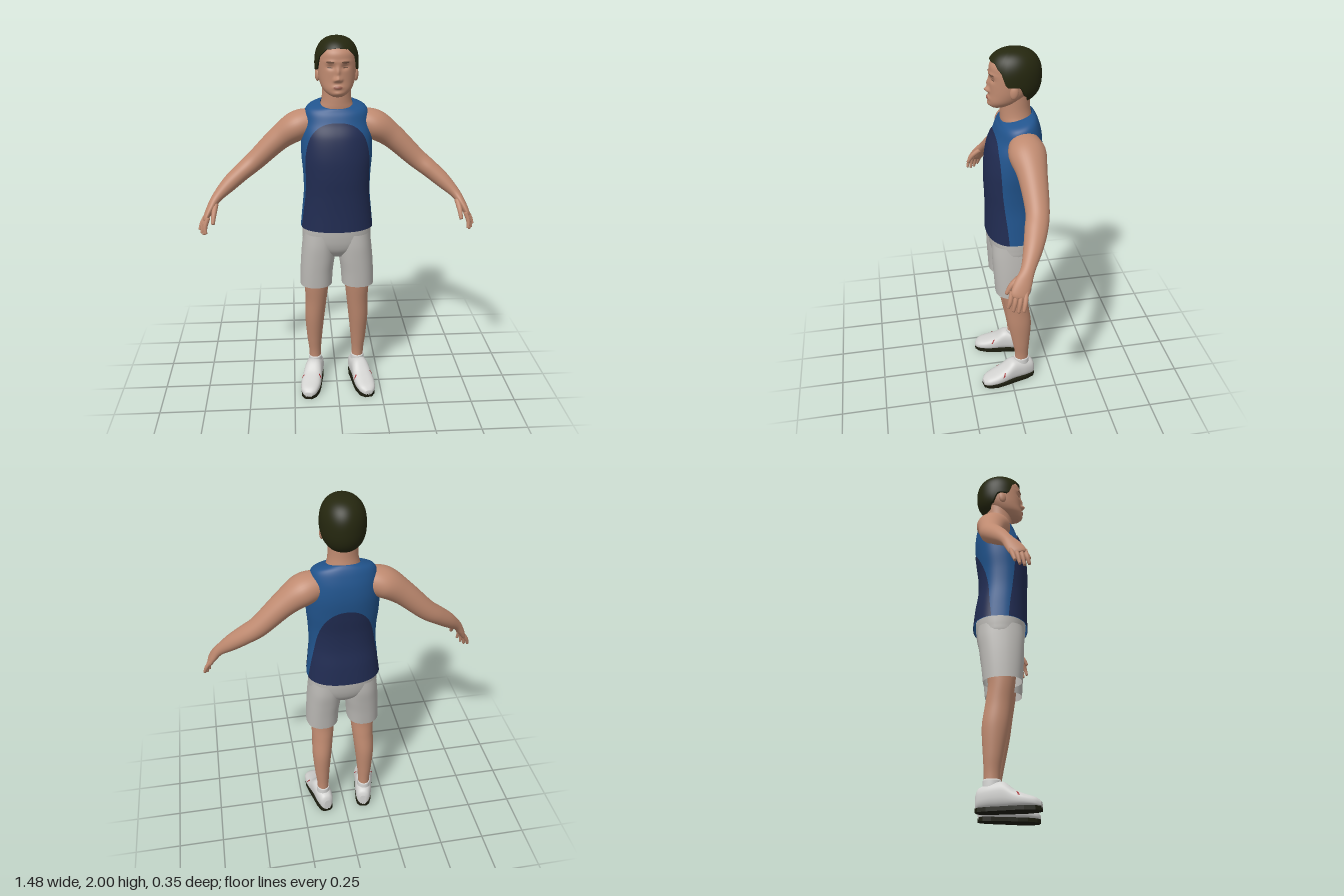
import * as THREE from 'three';

const mat = (name, color, side = THREE.FrontSide) => {
  const m = new THREE.MeshStandardMaterial({ color, side });
  m.name = name;
  return m;
};
const V = (x, y, z) => new THREE.Vector3(x, y, z);
const UP = V(0, 1, 0), FRONT = V(0, 0, 1);

// Smooth interpolation of all numbers in a list of cross-sections.
function sample(keys, v) {
  const n = keys.length - 1, t = Math.min(Math.max(v, 0), 1) * n;
  const i = Math.min(Math.floor(t), n - 1), f = t - i;
  const k = j => keys[Math.min(Math.max(j, 0), n)];
  return keys[0].map((_, c) => {
    const a = k(i - 1)[c], b = k(i)[c], d = k(i + 1)[c], e = k(i + 2)[c];
    return b + 0.5 * f * (d - a + f * (2 * a - 5 * b + 4 * d - e + f * (3 * (b - d) + e - a)));
  });
}

// Surface through cross-sections [x, y, z, radius along ref, radius across, forward tilt].
function loftSurface(keys, { dir = null, ref = FRONT, p = 2 } = {}) {
  const bend = s => Math.sign(s) * Math.abs(s) ** (2 / p);
  return (u, v) => {
    const [x, y, z, ra, rb, tilt = 0] = sample(keys, v);
    let T = dir;
    if (!T) {
      const a = sample(keys, v - 0.02), b = sample(keys, v + 0.02);
      T = V(b[0] - a[0], b[1] - a[1], b[2] - a[2]).normalize();
    }
    const A = ref.clone().addScaledVector(T, -ref.dot(T)).normalize();
    const B = T.clone().cross(A), c = ra * bend(Math.cos(u));
    return V(x, y - tilt * c, z).addScaledVector(A, c).addScaledVector(B, rb * bend(Math.sin(u)));
  };
}

// Mesh over a surface f(s, t) with s, t in 0..1; wrap joins the s ends, caps closes the t ends.
function gridMesh(name, material, f, ns, nt, wrap = false, caps = false) {
  const pos = [], idx = [], w = wrap ? ns : ns + 1;
  for (let j = 0; j <= nt; j++)
    for (let i = 0; i < w; i++) pos.push(...f(i / ns, j / nt).toArray());
  for (let j = 0; j < nt; j++)
    for (let i = 0; i < ns; i++) {
      const a = j * w + i, b = j * w + (i + 1) % w;
      idx.push(a, b, b + w, a, b + w, a + w);
    }
  if (caps) for (const j of [0, nt]) {
    const mid = V(0, 0, 0), c = pos.length / 3;
    for (let i = 0; i < w; i++) mid.add(f(i / ns, j / nt));
    pos.push(...mid.divideScalar(w).toArray());
    for (let i = 0; i < ns; i++) {
      const a = j * w + i, b = j * w + (i + 1) % w;
      idx.push(...(j ? [a, b, c] : [b, a, c]));
    }
  }
  const g = new THREE.BufferGeometry();
  g.setAttribute('position', new THREE.Float32BufferAttribute(pos, 3));
  g.setIndex(idx);
  g.computeVertexNormals();
  const m = new THREE.Mesh(g, material);
  m.name = name;
  return m;
}

const skinOver = (name, material, surf, rows, segs = 40, caps = true) =>
  gridMesh(name, material, (s, t) => surf(s * Math.PI * 2, t), segs, rows, true, caps);

// Thin plate lying just above a surface; map(s, t) gives its [u, v].
function patch(name, material, surf, map, off = 0.003, ns = 24, nt = 24) {
  return gridMesh(name, material, (s, t) => {
    const [u, v] = map(s, t), e = 0.004;
    const du = surf(u + e, v).sub(surf(u - e, v)), dv = surf(u, v + e).sub(surf(u, v - e));
    return surf(u, v).addScaledVector(du.cross(dv).normalize(), off);
  }, ns, nt);
}

// Position along a list of sections where height y is reached.
function heightToV(keys, y) {
  let lo = 0, hi = 1;
  for (let i = 0; i < 30; i++) {
    const m = (lo + hi) / 2;
    if (sample(keys, m)[1] < y) lo = m; else hi = m;
  }
  return lo;
}

export function createModel() {
  const model = new THREE.Group();
  model.name = 'athlete';
  const skin = mat('skin', 0xbf8a70), hair = mat('hair', 0x25270f, THREE.DoubleSide);
  const blue = mat('shirtBlue', 0x21548d, THREE.DoubleSide), navy = mat('shirtNavy', 0x212c52, THREE.DoubleSide);
  const grey = mat('shortsGrey', 0xbab8b4, THREE.DoubleSide), white = mat('shoeWhite', 0xd2d2d0);
  const dark = mat('soleDark', 0x1c1d0f), red = mat('accentRed', 0xa02c30, THREE.DoubleSide);
  const lip = mat('lips', 0x9c6253, THREE.DoubleSide), brow = mat('brows', 0x70503f, THREE.DoubleSide);

  // Shirt with navy front and back panels
  const shirtKeys = [
    [0, 1.0, -0.03, 0.145, 0.195, 0], [0, 1.1, -0.026, 0.139, 0.185, 0], [0, 1.2, -0.018, 0.132, 0.176, 0],
    [0, 1.3, -0.016, 0.134, 0.178, 0], [0, 1.4, -0.024, 0.139, 0.186, 0], [0, 1.5, -0.038, 0.136, 0.184, 0],
    [0, 1.57, -0.05, 0.12, 0.173, 0.05], [0, 1.62, -0.051, 0.105, 0.164, 0.12], [0, 1.646, -0.05, 0.093, 0.145, 0.2],
    [0, 1.66, -0.047, 0.084, 0.105, 0.25], [0, 1.664, -0.046, 0.079, 0.084, 0.27]];
  const shirt = loftSurface(shirtKeys, { dir: UP, p: 2.3 });
  model.add(skinOver('shirt', blue, shirt, 60, 64, false));
  const panel = (name, mid, top, half) => model.add(patch(name, navy, shirt, (s, t) => {
    const h = Math.sin(t * Math.PI / 2);
    return [mid + (2 * s - 1) * half(h), heightToV(shirtKeys, 1 + (top - 1) * h)];
  }, 0.003, 40, 48));
  panel('frontPanel', 0, 1.585, h => (1.29 - 0.3 * h) * Math.sqrt(Math.max(0, 1 - h ** 6)));
  panel('backPanel', Math.PI, 1.45, h => (1.33 - 0.5 * h) * Math.sqrt(Math.max(0, 1 - h ** 3)));

  // Neck
  model.add(skinOver('neck', skin, loftSurface([
    [0, 1.58, -0.05, 0.075, 0.1], [0, 1.64, -0.046, 0.079, 0.09], [0, 1.675, -0.043, 0.077, 0.079],
    [0, 1.72, -0.04, 0.074, 0.074], [0, 1.8, -0.04, 0.075, 0.074]], { dir: UP }), 24));

  // Head: rounded sections with soft bumps [x, y, width, height, depth] for the face
  const headKeys = [
    [0, 1.712, 0.045, 0.03, 0.026], [0, 1.725, 0.035, 0.053, 0.05], [0, 1.75, 0.013, 0.08, 0.075],
    [0, 1.79, -0.01, 0.099, 0.091], [0, 1.84, -0.025, 0.113, 0.098], [0, 1.89, -0.033, 0.12, 0.1],
    [0, 1.93, -0.036, 0.116, 0.096], [0, 1.965, -0.04, 0.085, 0.075], [0, 1.98, -0.04, 0.03, 0.03]];
  const bumps = [[0, 1.803, 0.014, 0.012, 0.022], [0, 1.835, 0.01, 0.024, 0.012], [0, 1.762, 0.022, 0.009, 0.009],
    [0, 1.732, 0.025, 0.012, 0.007]];
  for (const s of [-1, 1]) bumps.push([s * 0.036, 1.86, 0.019, 0.012, -0.01],
    [s * 0.036, 1.886, 0.028, 0.009, 0.004], [s * 0.015, 1.797, 0.008, 0.008, 0.008]);
  const skull = loftSurface(headKeys, { dir: UP, p: 2.15 });
  const head = (u, v) => {
    const q = skull(u, v);
    if (Math.cos(u) > 0) for (const [x, y, w, h, d] of bumps)
      q.z += d * Math.exp(-(((q.x - x) / w) ** 2) - ((q.y - y) / h) ** 2);
    return q;
  };
  model.add(skinOver('head', skin, head, 80, 112));
  const facePatch = (name, m, u0, u1, y0, y1) => model.add(patch(name, m, head, (s, t) => {
    const round = Math.sqrt(Math.max(0, 1 - (2 * s - 1) ** 4)), mid = (y0 + y1) / 2;
    return [u0 + (u1 - u0) * s, heightToV(headKeys, mid + (t - 0.5) * (y1 - y0) * round)];
  }, 0.0015, 20, 4));
  facePatch('mouth', lip, -0.24, 0.24, 1.755, 1.768);
  for (const s of [-1, 1]) {
    const ends = (a, b) => s > 0 ? [a, b] : [-b, -a];
    facePatch('eyebrow', brow, ...ends(0.16, 0.58), 1.88, 1.888);
    facePatch('eyelid', brow, ...ends(0.22, 0.52), 1.854, 1.86);
    const ear = new THREE.Mesh(new THREE.SphereGeometry(1, 20, 14), skin);
    ear.name = 'ear';
    ear.scale.set(0.013, 0.034, 0.021);
    ear.position.set(s * 0.097, 1.812, -0.018);
    ear.rotation.set(-0.15, s * -0.25, 0);
    model.add(ear);
  }

  // Hair: rounded cap whose lower edge follows a hairline [angle from front, height]
  const hairline = [[0, 1.95], [0.55, 1.945], [0.9, 1.915], [1.2, 1.84], [1.6, 1.84], [1.95, 1.785], [2.4, 1.745], [3.15, 1.735]];
  const edge = a => {
    const i = Math.max(1, hairline.findIndex(k => k[0] >= a)), [a0, y0] = hairline[i - 1], [a1, y1] = hairline[i];
    return y0 + (y1 - y0) * THREE.MathUtils.smoothstep(a, a0, a1);
  };
  model.add(gridMesh('hair', hair, (s, t) => {
    const a = s * Math.PI * 2, low = (edge(a > Math.PI ? Math.PI * 2 - a : a) - 1.865) / 0.135;
    const k = Math.min(1, (1 - t) / 0.96), h = Math.cos(Math.acos(low) * k);
    let r = (Math.max(0, 1 - Math.abs(h) ** 2.4)) ** (1 / 2.4);
    if (t === 0) r *= 0.86;
    const quiff = 0.008 * Math.max(0, Math.cos(a)) * Math.max(0, h);
    return V(0.112 * r * Math.sin(a), 1.865 + 0.135 * h, -0.035 + (0.135 + quiff) * r * Math.cos(a));
  }, 72, 36, true));

  // Shorts: hips
  model.add(skinOver('shortsHips', grey, loftSurface([
    [0, 0.83, -0.025, 0.07, 0.07], [0, 0.87, -0.026, 0.105, 0.14], [0, 0.91, -0.027, 0.122, 0.182],
    [0, 0.96, -0.028, 0.131, 0.187], [0, 1.02, -0.028, 0.135, 0.184]], { dir: UP, p: 2.3 }), 30));

  for (const s of [-1, 1]) {
    const side = keys => keys.map(([x, ...rest]) => [x * s, ...rest]);
    const name = n => (s > 0 ? 'left' : 'right') + n;

    // Shorts leg, open at the hem
    model.add(skinOver(name('ShortsLeg'), grey, loftSurface(side([
      [0.116, 0.657, -0.015, 0.1, 0.089, -0.03], [0.112, 0.74, -0.017, 0.107, 0.09, 0], [0.104, 0.82, -0.02, 0.115, 0.093, 0],
      [0.097, 0.9, -0.024, 0.122, 0.092, 0], [0.09, 0.97, -0.026, 0.12, 0.09, 0]]), { dir: UP, p: 2.3 }), 30, 40, false));

    // Leg and sock
    model.add(skinOver(name('Leg'), skin, loftSurface(side([
      [0.125, 0.08, -0.065, 0.04, 0.034], [0.125, 0.18, -0.065, 0.039, 0.034], [0.127, 0.28, -0.06, 0.05, 0.043],
      [0.125, 0.42, -0.05, 0.067, 0.055], [0.117, 0.54, -0.034, 0.068, 0.06], [0.113, 0.65, -0.02, 0.07, 0.068],
      [0.105, 0.8, -0.02, 0.085, 0.078]]), { dir: UP }), 48));
    model.add(skinOver(name('Sock'), white, loftSurface(side([
      [0.125, 0.08, -0.065, 0.046, 0.04], [0.125, 0.12, -0.065, 0.045, 0.039], [0.125, 0.155, -0.065, 0.043, 0.037]]), { dir: UP }), 6));

    // Shoe: sections along the foot [z, top height, half width]
    const shoe = new THREE.Group();
    shoe.name = name('Shoe');
    shoe.position.x = s * 0.138;
    shoe.rotation.y = s * 0.2;
    const foot = [[-0.143, 0.085, 0.02], [-0.128, 0.115, 0.038], [-0.085, 0.133, 0.048], [-0.04, 0.142, 0.05], [0, 0.14, 0.052],
      [0.05, 0.102, 0.056], [0.1, 0.08, 0.056], [0.15, 0.062, 0.044], [0.175, 0.042, 0.02]];
    const upper = loftSurface(foot.map(([z, h, w]) => [0, (h + 0.012) / 2, z, (h - 0.012) / 2, w]), { dir: FRONT, ref: UP, p: 2.5 });
    shoe.add(skinOver('shoeUpper', white, upper, 48));
    for (const d of [-1, 1]) shoe.add(patch('shoeAccent', red, upper,
      (a, b) => [d * 1.0 + (a - 0.5) * 0.5, 0.65 + b * 0.025 + a * d * 0.03], 0.002, 8, 4));
    const rim = d => foot.map(([z, , w]) => new THREE.Vector2(d * w * 0.97, z));
    const outline = new THREE.Shape([...rim(1), ...rim(-1).reverse()]);
    const sole = new THREE.Mesh(new THREE.ExtrudeGeometry(outline, { depth: 0.02, bevelEnabled: false }).rotateX(Math.PI / 2).translate(0, 0.02, 0), dark);
    sole.name = 'sole';
    shoe.add(sole);
    model.add(shoe);

    // Arm from shoulder to palm
    model.add(skinOver(name('Arm'), skin, loftSurface(side([
      [0.11, 1.565, -0.062, 0.07, 0.065], [0.2, 1.54, -0.064, 0.092, 0.078], [0.3, 1.472, -0.07, 0.072, 0.064],
      [0.425, 1.357, -0.068, 0.058, 0.053], [0.5, 1.298, -0.047, 0.055, 0.047], [0.57, 1.24, -0.018, 0.046, 0.041],
      [0.635, 1.178, 0.018, 0.034, 0.027], [0.668, 1.13, 0.045, 0.041, 0.021], [0.692, 1.085, 0.066, 0.042, 0.016],
      [0.7, 1.068, 0.073, 0.03, 0.01]])), 72));

    // Fingers and thumb: base, knuckle, tip
    const digit = (n, a, b, c, r) => model.add(skinOver(name(n), skin, loftSurface(side([
      [...a, r, r], [...b, r * 0.95, r * 0.95], [...c, r * 0.65, r * 0.65]])), 12, 12));
    for (let i = 0; i < 4; i++) {
      const x = 0.698 - i * 0.004, z = 0.035 + i * 0.022;
      digit('Finger', [x - 0.008, 1.095, z], [x + 0.02 - i * 0.004, 1.05, z + 0.01],
        [x + 0.034 - i * 0.009, 1.012 - (i % 3 ? 0.012 : 0), z + 0.02], 0.0115);
    }
    digit('Thumb', [0.64, 1.15, 0.05], [0.648, 1.11, 0.095], [0.653, 1.065, 0.122], 0.014);
  }
  return model;
}
